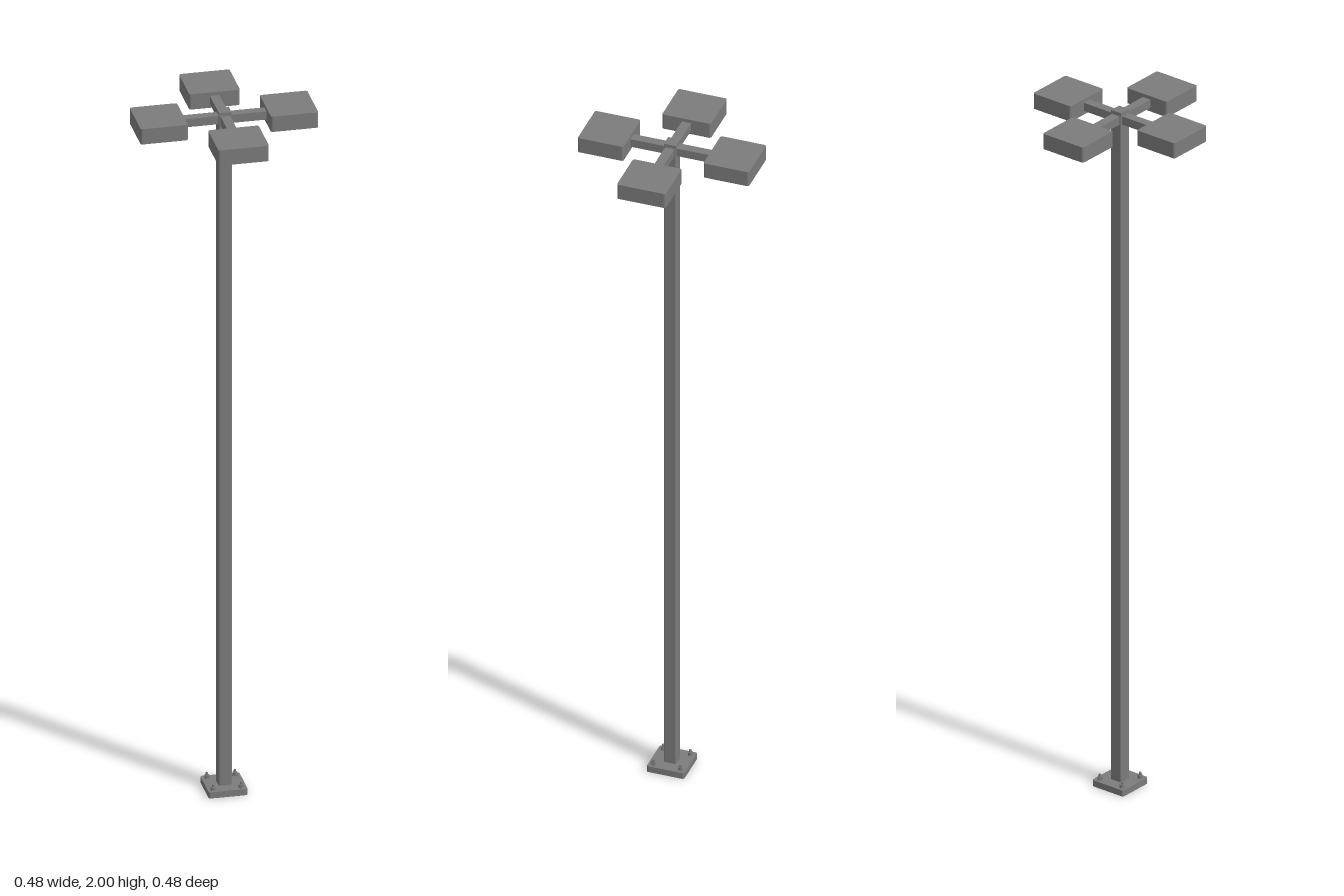
import * as THREE from 'three';

const material = new THREE.MeshStandardMaterial({ color: 0x7b7b7b });

// Rounded rectangle outline centred on the origin
function roundedRect(w, d, r) {
  const s = new THREE.Shape();
  const x = w / 2 - r, y = d / 2 - r;
  s.absarc(x, y, r, 0, Math.PI / 2);
  s.absarc(-x, y, r, Math.PI / 2, Math.PI);
  s.absarc(-x, -y, r, Math.PI, Math.PI * 1.5);
  s.absarc(x, -y, r, Math.PI * 1.5, Math.PI * 2);
  s.closePath();
  return s;
}

// Upright prism standing between two heights
function prism(shape, y0, y1) {
  const g = new THREE.ExtrudeGeometry(shape, { depth: y1 - y0, bevelEnabled: false, curveSegments: 5 });
  return g.rotateX(-Math.PI / 2).translate(0, y0, 0);
}

function add(parent, name, geometry, x = 0, y = 0, z = 0) {
  const mesh = new THREE.Mesh(geometry, material);
  mesh.name = name;
  mesh.position.set(x, y, z);
  parent.add(mesh);
  return mesh;
}

export function createModel() {
  const model = new THREE.Group();
  model.name = 'floodlightMast';

  // Base plate with a central cable opening
  const plate = roundedRect(0.106, 0.106, 0.006);
  const opening = new THREE.Path();
  opening.absarc(0, 0, 0.016, 0, Math.PI * 2, true);
  plate.holes.push(opening);
  add(model, 'basePlate', prism(plate, 0, 0.018));

  // Anchor bolts: washer, hexagonal nut and stud at each corner
  for (const sx of [-1, 1]) {
    for (const sz of [-1, 1]) {
      const bolt = new THREE.Group();
      bolt.name = 'anchorBolt';
      bolt.position.set(sx * 0.038, 0.018, sz * 0.038);
      add(bolt, 'washer', new THREE.CylinderGeometry(0.008, 0.008, 0.002, 16), 0, 0.001, 0);
      add(bolt, 'nut', new THREE.CylinderGeometry(0.007, 0.007, 0.007, 6), 0, 0.0055, 0);
      add(bolt, 'stud', new THREE.CylinderGeometry(0.0035, 0.0035, 0.016, 10), 0, 0.008, 0);
      model.add(bolt);
    }
  }

  // Square hollow-section pole and its cap
  const tube = roundedRect(0.036, 0.036, 0.004);
  tube.holes.push(new THREE.Path(roundedRect(0.03, 0.03, 0.003).getPoints(5).reverse()));
  add(model, 'pole', prism(tube, 0.012, 1.992));
  add(model, 'poleCap', new THREE.BoxGeometry(0.034, 0.008, 0.034), 0, 1.996, 0);

  // Four arms, each carrying a flat lamp head
  const head = prism(roundedRect(0.129, 0.138, 0.006), 1.955, 2.0);
  for (let i = 0; i < 4; i++) {
    const lamp = new THREE.Group();
    lamp.name = 'lampAssembly';
    lamp.rotation.y = i * Math.PI / 2;
    add(lamp, 'arm', new THREE.BoxGeometry(0.1, 0.024, 0.026), 0.065, 1.978, 0);
    add(lamp, 'lampHead', head, 0.1775, 0, 0);
    model.add(lamp);
  }

  return model;
}
